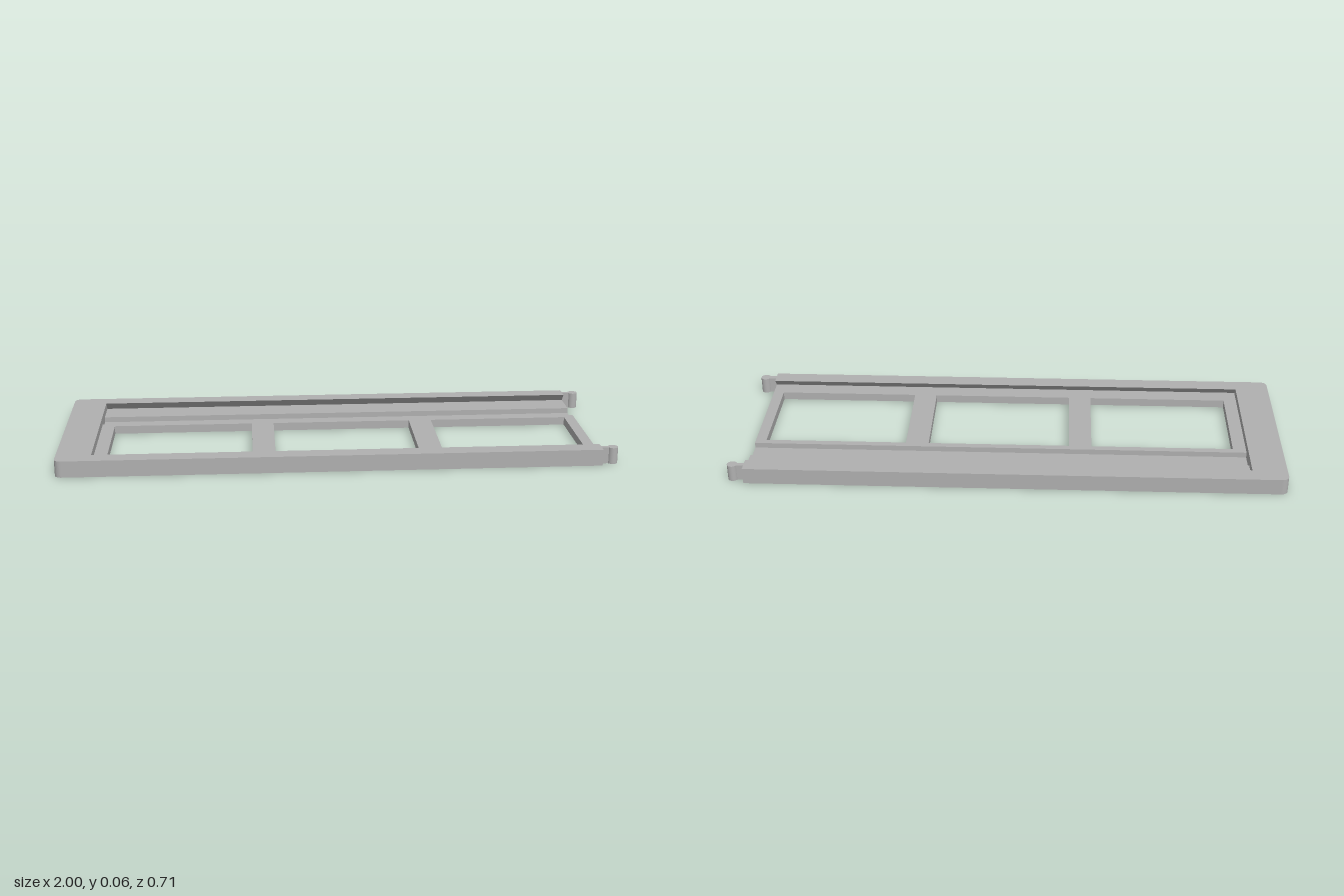
import * as THREE from 'three';

const LEFT = -1, END = 0.94, HALF = 0.355, CORNER = 0.025;
const POCKET = -0.875, FLOOR = 0.03, TOP = 0.06;
const GROOVE = { y: 0.01, near: 0.128, far: 0.214 };

// Plan shapes use x and -z; extruded upward from y0 to y1
function slab(shape, y0, y1) {
  const geo = new THREE.ExtrudeGeometry(shape, { depth: y1 - y0, bevelEnabled: false, curveSegments: 6 });
  geo.rotateX(-Math.PI / 2);
  geo.translate(0, y0, 0);
  return geo;
}

// Outline with rounded corners on the closed end; edge lists points along the open end
function outline(edge) {
  const s = new THREE.Shape();
  s.moveTo(LEFT + CORNER, -HALF);
  edge.forEach(([x, y]) => s.lineTo(x, y));
  s.lineTo(LEFT + CORNER, HALF);
  s.absarc(LEFT + CORNER, HALF - CORNER, CORNER, Math.PI / 2, Math.PI, false);
  s.lineTo(LEFT, -HALF + CORNER);
  s.absarc(LEFT + CORNER, -HALF + CORNER, CORNER, Math.PI, Math.PI * 1.5, false);
  return s;
}

function cutWindows(shape) {
  for (const [x0, x1] of [[-0.827, -0.307], [-0.224, 0.296], [0.381, 0.901]]) {
    const h = new THREE.Path();
    h.moveTo(x0, -0.256);
    h.lineTo(x0, 0.104);
    h.lineTo(x1, 0.104);
    h.lineTo(x1, -0.256);
    h.closePath();
    shape.holes.push(h);
  }
  return shape;
}

export function createModel() {
  const group = new THREE.Group();
  const grey = new THREE.MeshStandardMaterial({ color: 0xb0b0b0 });
  grey.name = 'plain grey';
  const add = (name, geo) => {
    const mesh = new THREE.Mesh(geo, grey);
    mesh.name = name;
    group.add(mesh);
    return mesh;
  };

  // Bottom sheet, then the floor with a long groove open at the right end
  add('bottomSheet', slab(cutWindows(outline([[END, -HALF], [END, HALF]])), 0, GROOVE.y));
  add('groovedFloor', slab(cutWindows(outline([
    [END, -HALF], [END, GROOVE.near], [POCKET, GROOVE.near],
    [POCKET, GROOVE.far], [END, GROOVE.far], [END, HALF],
  ])), GROOVE.y, FLOOR));

  // Raised block at the closed end
  add('endBlock', slab(outline([[POCKET, -HALF], [POCKET, HALF]]), FLOOR, TOP));

  for (const side of [1, -1]) {
    const label = side > 0 ? 'front' : 'back';

    // Undercut side rail, profile extruded along x
    const profile = new THREE.Shape([
      [HALF, FLOOR], [HALF, TOP], [0.294, TOP], [0.32, FLOOR],
    ].map(([z, y]) => new THREE.Vector2(-side * z, y)));
    const rail = new THREE.ExtrudeGeometry(profile, { depth: END - POCKET, bevelEnabled: false });
    rail.rotateY(Math.PI / 2);
    rail.translate(POCKET, 0, 0);
    add(label + 'Rail', rail);

    // Snap peg on a narrow neck
    const z = side * 0.3235;
    add(label + 'PegNeck', new THREE.BoxGeometry(0.03, TOP, 0.018)).position.set(END + 0.015, TOP / 2, z);
    add(label + 'Peg', new THREE.CylinderGeometry(0.0185, 0.0185, TOP, 32)).position.set(0.9815, TOP / 2, z);
  }
  return group;
}
